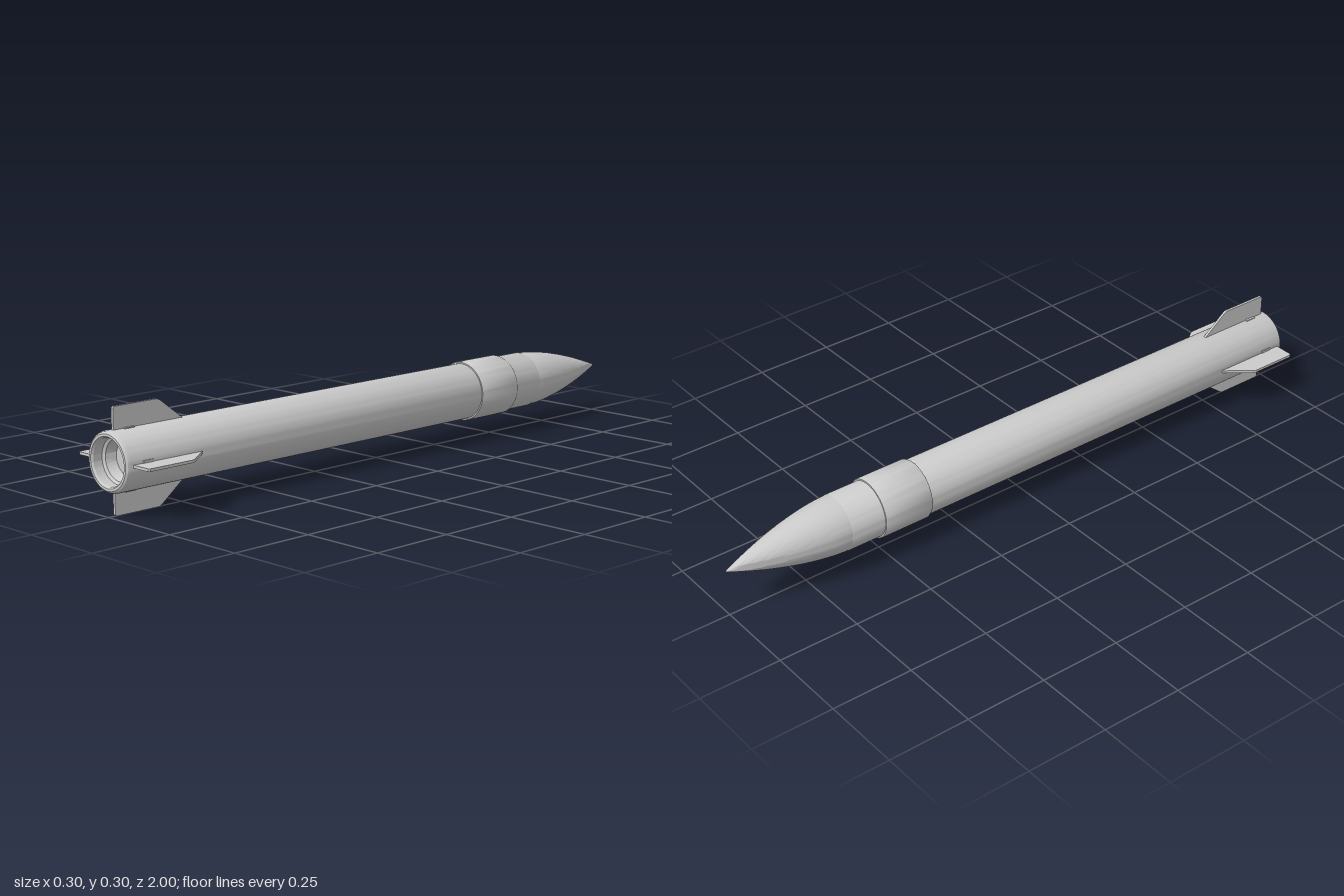
import * as THREE from 'three';
import { toCreasedNormals } from 'three/addons/utils/BufferGeometryUtils.js';

const AXIS_Y = 0.148;
const BODY_R = 0.085;

export function createModel() {
  const root = new THREE.Group();
  root.name = 'rocket';
  const material = new THREE.MeshStandardMaterial({ color: 0xcccccc });

  // Everything is built upright along y, then laid down with the nose toward -z
  const rocket = new THREE.Group();
  rocket.name = 'rocketBody';
  rocket.rotation.x = -Math.PI / 2;
  rocket.position.y = AXIS_Y;
  root.add(rocket);

  const add = (name, geometry, parent = rocket) => {
    const mesh = new THREE.Mesh(geometry, material);
    mesh.name = name;
    parent.add(mesh);
    return mesh;
  };
  const turned = (name, profile, crease = 0.5) => {
    const points = profile.map(([r, y]) => new THREE.Vector2(r, y));
    return add(name, toCreasedNormals(new THREE.LatheGeometry(points, 64), crease));
  };

  // Main tube with rounded tail rim and recessed nozzle
  turned('mainTube', [
    [0, -0.93], [0.049, -0.93], [0.058, -0.96], [0.066, -0.965], [0.066, -0.994],
    [0.07, -1], [0.077, -1], [0.082, -0.996], [BODY_R, -0.987],
    [BODY_R, 0.638], [0.083, 0.642],
  ]);

  // Raised collar with softened edges
  turned('collar', [
    [0.084, 0.37], [0.089, 0.37], [0.091, 0.374],
    [0.091, 0.526], [0.089, 0.53], [0.084, 0.53],
  ]);

  // Ogive nose cone with a small rounded tip
  const nose = [];
  for (let i = 0; i <= 24; i++) {
    const t = i / 24;
    nose.push([0.004 + 0.08 * (1 - Math.pow(t, 1.65)), 0.64 + 0.355 * t]);
  }
  nose.push([0.0028, 0.9985], [0, 1]);
  turned('noseCone', nose, 0.9);

  // Four clipped tail fins, each with a small mounting lug at the root
  const finShape = new THREE.Shape([
    [0.078, -0.98], [0.144, -0.98], [0.148, -0.976], [0.148, -0.83],
    [0.143, -0.82], [BODY_R, -0.745], [0.078, -0.745],
  ].map(([x, y]) => new THREE.Vector2(x, y)));
  const finGeometry = new THREE.ExtrudeGeometry(finShape, { depth: 0.008, bevelEnabled: false });
  finGeometry.translate(0, 0, -0.004);
  const lugGeometry = new THREE.BoxGeometry(0.012, 0.035, 0.022);
  lugGeometry.translate(0.081, -0.93, 0);

  for (let i = 0; i < 4; i++) {
    const fin = new THREE.Group();
    fin.name = `tailFin${i + 1}`;
    fin.rotation.y = i * Math.PI / 2;
    rocket.add(fin);
    add('finBlade', finGeometry, fin);
    add('finLug', lugGeometry, fin);
  }
  return root;
}
